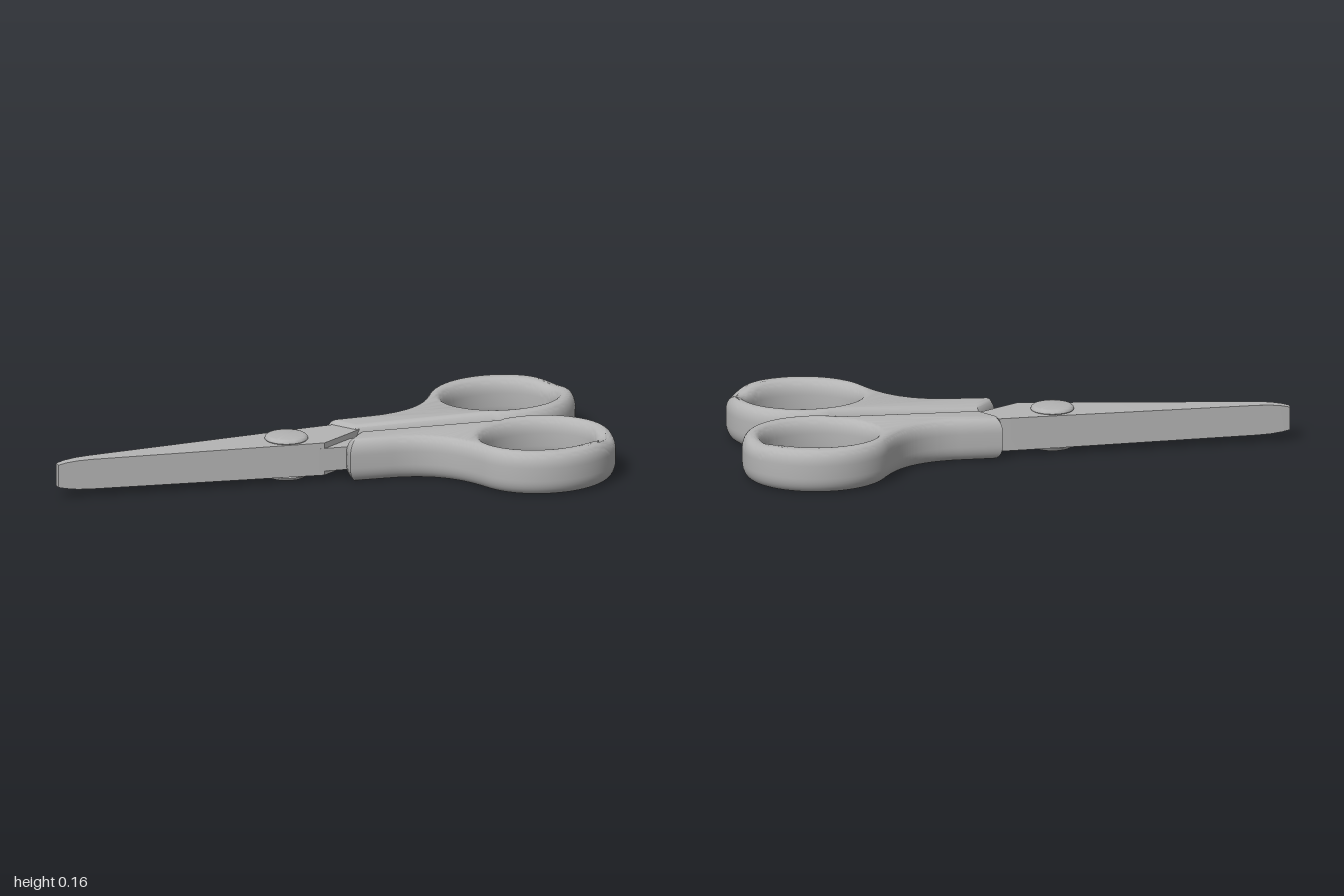
import * as THREE from 'three';
import { toCreasedNormals } from 'three/addons/utils/BufferGeometryUtils.js';

const HEIGHT = 0.157;

// Grip arm and finger ring in one outline; side is +1 (front) or -1 (back)
function handleGeometry(side) {
  const outline = new THREE.Shape();
  outline.moveTo(0.05, 0.147);
  outline.lineTo(0.05, 0.098);
  outline.lineTo(0.115, 0.016);
  outline.lineTo(0.63, 0.028);
  outline.absellipse(0.73, 0.25, 0.27, 0.245, -1.88, 2.69, false);
  outline.bezierCurveTo(0.44, 0.265, 0.38, 0.16, 0.2, 0.153);
  const hole = new THREE.Path().absellipse(0.725, 0.245, 0.203, 0.166, 0, Math.PI * 2, false);
  // Mirrored points are reversed to keep the same winding
  const place = (points) => {
    const placed = points.map((p) => new THREE.Vector2(p.x, p.y * side));
    return side > 0 ? placed : placed.reverse();
  };
  const shape = new THREE.Shape(place(outline.getPoints(48)));
  shape.holes.push(new THREE.Path(place(hole.getPoints(64).slice(0, -1))));

  const bevel = 0.055;
  const geo = new THREE.ExtrudeGeometry(shape, {
    depth: HEIGHT - 2 * bevel, bevelEnabled: true, bevelThickness: bevel,
    bevelSize: 0.033, bevelOffset: -0.033, bevelSegments: 8,
  });
  geo.rotateX(Math.PI / 2);
  geo.translate(0, HEIGHT - bevel, 0);

  // Shallow thumb dip on the top of the ring's far end
  const p = geo.attributes.position;
  const depth = side > 0 ? 0.02 : 0.011;
  for (let i = 0; i < p.count; i++) {
    const dx = (p.getX(i) - 0.96) / 0.07, dz = (Math.abs(p.getZ(i)) - 0.33) / 0.07;
    const upper = Math.max(0, p.getY(i) / HEIGHT - 0.5) * 2;
    p.setY(i, p.getY(i) - depth * upper * Math.exp(-dx * dx - dz * dz));
  }
  return toCreasedNormals(geo, 0.7);
}

// Web joining the finger rings, with hollow ends
function ringStopGeometry() {
  const shape = new THREE.Shape();
  shape.moveTo(0.63, -0.032);
  shape.lineTo(0.83, -0.032);
  shape.quadraticCurveTo(0.75, 0, 0.83, 0.032);
  shape.lineTo(0.63, 0.032);
  shape.quadraticCurveTo(0.71, 0, 0.63, -0.032);
  const geo = new THREE.ExtrudeGeometry(shape, { depth: 0.12, bevelEnabled: false, curveSegments: 16 });
  geo.rotateX(Math.PI / 2);
  geo.translate(0, 0.132, 0);
  return toCreasedNormals(geo, 0.6);
}

// Solid of rectangular sections [x, zBack, zFront, yLow, yHigh]
function loftBoxes(sections) {
  const pos = [], index = [];
  for (const [x, zb, zf, y0, y1] of sections) {
    pos.push(x, y0, zb, x, y0, zf, x, y1, zf, x, y1, zb);
  }
  for (let s = 0; s < sections.length - 1; s++) {
    for (let k = 0; k < 4; k++) {
      const a = s * 4 + k, b = s * 4 + (k + 1) % 4;
      index.push(a, a + 4, b, b, a + 4, b + 4);
    }
  }
  const e = (sections.length - 1) * 4;
  index.push(0, 1, 2, 0, 2, 3, e, e + 2, e + 1, e, e + 3, e + 2);
  const geo = new THREE.BufferGeometry();
  geo.setAttribute('position', new THREE.Float32BufferAttribute(pos, 3));
  geo.setIndex(index);
  return toCreasedNormals(geo, 0.3);
}

export function createModel() {
  const model = new THREE.Group();
  model.name = 'scissors';
  const grey = new THREE.MeshStandardMaterial({ color: 0xb4b4b4 });
  grey.name = 'grey';

  const add = (name, geo) => {
    const mesh = new THREE.Mesh(geo, grey);
    mesh.name = name;
    model.add(mesh);
    return mesh;
  };

  // Handles
  add('frontHandle', handleGeometry(1));
  add('backHandle', handleGeometry(-1));
  add('ringStop', ringStopGeometry());

  // Closed blades, cut diagonally behind the pivot
  add('blades', loftBoxes([
    [-1, -0.015, 0.012, 0.040, 0.124],
    [-0.97, -0.019, 0.015, 0.034, 0.131],
    [-0.93, -0.022, 0.019, 0.029, 0.136],
    [-0.88, -0.026, 0.023, 0.027, 0.138],
    [-0.03, -0.099, 0.092, 0.022, 0.143],
    [0.1, -0.11, 0, 0.022, 0.143],
    [0.14, -0.11, -0.03, 0.022, 0.143],
  ]));

  // Thinner tang running into the front handle
  add('frontTang', loftBoxes([
    [-0.05, 0, 0.091, 0.037, 0.122],
    [0.1, 0.005, 0.098, 0.037, 0.122],
    [0.14, 0.03, 0.1, 0.037, 0.122],
  ]));

  // Pivot with a flat rounded head on each side
  const half = [[0, 0.077], [0.06, 0.077], [0.07, 0.075], [0.076, 0.07], [0.078, 0.064], [0.074, 0.058]];
  const profile = [
    ...half.map(([r, y]) => new THREE.Vector2(r, -y)),
    ...half.map(([r, y]) => new THREE.Vector2(r, y)).reverse(),
  ];
  const pivot = new THREE.LatheGeometry(profile, 48);
  add('pivot', toCreasedNormals(pivot, 0.7)).position.set(-0.145, 0.081, 0);

  return model;
}
